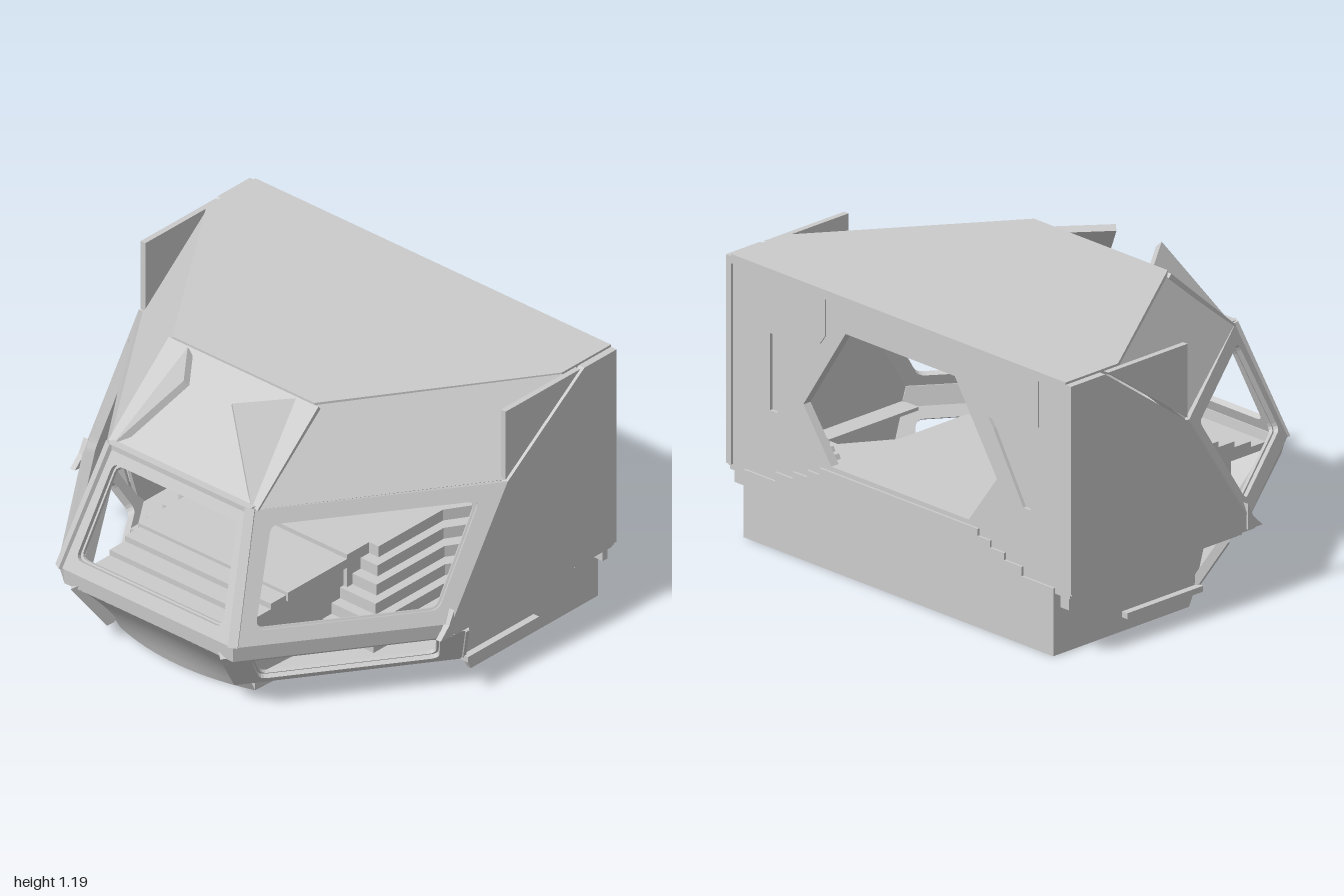
import * as THREE from 'three';

const material = new THREE.MeshStandardMaterial({ color: 0xcccccc, flatShading: true, side: THREE.DoubleSide });
const smoothMaterial = new THREE.MeshStandardMaterial({ color: 0xcccccc, side: THREE.DoubleSide });

// Mirrored copy of an outline, keeping its winding facing outward
const mirror = (pts) => {
  const m = pts.map(([x, y, z]) => [-x, y, z]);
  return [m[1], m[0], ...m.slice(2).reverse()];
};

// Full outline from its +x half
const symmetric = (half) => [...half, ...half.slice().reverse().map(([x, ...rest]) => [-x, ...rest])];

// Closed path with rounded corners
function rounded(points, r) {
  const path = new THREE.Path();
  points.forEach((p, i) => {
    const n = points.length;
    const toward = (q) => q.clone().sub(p).setLength(r).add(p);
    const a = toward(points[(i + n - 1) % n]);
    const b = toward(points[(i + 1) % n]);
    if (i) path.lineTo(a.x, a.y); else path.moveTo(a.x, a.y);
    path.quadraticCurveTo(p.x, p.y, b.x, b.y);
  });
  path.closePath();
  return path;
}

// Plate through 3D corners (anticlockwise from outside), thickened inward.
// hole = [u, v0, v1] cuts a rounded opening in a four-cornered plate.
function plate(name, corners, { depth = 0.03, hole = null, set = 0 } = {}) {
  const p = corners.map((c) => new THREE.Vector3(...c));
  const u = p[1].clone().sub(p[0]).normalize();
  const n = u.clone().cross(p[p.length - 1].clone().sub(p[0])).normalize();
  const v = n.clone().cross(u);
  const flat = p.map((q) => {
    const d = q.clone().sub(p[0]);
    return new THREE.Vector2(d.dot(u), d.dot(v));
  });
  const shape = new THREE.Shape(flat);
  if (hole) {
    const [s, v0, v1] = hole;
    const at = (a, b) => flat[0].clone().lerp(flat[1], a).lerp(flat[3].clone().lerp(flat[2], a), b);
    shape.holes.push(rounded([at(s, v0), at(1 - s, v0), at(1 - s, v1), at(s, v1)], 0.035));
  }
  const geo = new THREE.ExtrudeGeometry(shape, { depth, bevelEnabled: false, curveSegments: 4 });
  geo.translate(0, 0, -depth - set);
  geo.applyMatrix4(new THREE.Matrix4().makeBasis(u, v, n).setPosition(p[0]));
  const mesh = new THREE.Mesh(geo, material);
  mesh.name = name;
  return mesh;
}

// Upright extrusion of an x-y outline along z
function extrudeZ(name, pts, z0, z1, holes = []) {
  const shape = new THREE.Shape(pts.map(([x, y]) => new THREE.Vector2(x, y)));
  holes.forEach((h) => shape.holes.push(new THREE.Path(h.map(([x, y]) => new THREE.Vector2(x, y)))));
  const geo = new THREE.ExtrudeGeometry(shape, { depth: z1 - z0, bevelEnabled: false });
  geo.translate(0, 0, z0);
  const mesh = new THREE.Mesh(geo, material);
  mesh.name = name;
  return mesh;
}

// Box from minimum and maximum corners
function box(name, a, b) {
  const mesh = new THREE.Mesh(new THREE.BoxGeometry(b[0] - a[0], b[1] - a[1], b[2] - a[2]), material);
  mesh.position.set((a[0] + b[0]) / 2, (a[1] + b[1]) / 2, (a[2] + b[2]) / 2);
  mesh.name = name;
  return mesh;
}

// Bowed nose of the lower hull, raked forward towards the top
function lowerNose() {
  const geo = new THREE.PlaneGeometry(2, 1, 16, 8);
  const pos = geo.attributes.position;
  for (let i = 0; i < pos.count; i++) {
    const s = pos.getX(i);
    const t = pos.getY(i) + 0.5;
    pos.setXYZ(i, s * (0.36 + 0.03 * t), 0.28 * t, 0.66 + 0.08 * t + 0.1 * t * t - 0.06 * s * s * (1 - t));
  }
  geo.computeVertexNormals();
  const mesh = new THREE.Mesh(geo, smoothMaterial);
  mesh.name = 'lowerNose';
  return mesh;
}

export function createModel() {
  const model = new THREE.Group();
  model.name = 'cockpit';
  const add = (...m) => model.add(...m);
  const both = (name, pts, opt) => add(plate(name + 'Left', pts, opt), plate(name + 'Right', mirror(pts), opt));
  const bothBoxes = (name, a, b) => add(
    box(name + 'Left', a, b),
    box(name + 'Right', [-b[0], a[1], a[2]], [-a[0], b[1], b[2]]));

  // Roof
  add(plate('roof', symmetric([[0.95, 1.19, -0.85], [0.95, 1.19, -0.56], [0.38, 1.19, 0.27]]).reverse(), { depth: 0.02 }));

  // Sloping brow panels
  add(plate('browPanel', [[-0.4, 0.86, 0.63], [0.4, 0.86, 0.63], [0.4, 1.18, 0.27], [-0.4, 1.18, 0.27]], { depth: 0.02 }));
  both('shoulderPanel', [[0.39, 0.86, 0.63], [0.97, 0.86, -0.21], [0.95, 1.18, -0.57], [0.38, 1.18, 0.27]], { depth: 0.02 });

  // Brow fins
  both('browFin', [[0.37, 0.86, 0.63], [0.29, 1.18, 0.28], [0.13, 1.18, 0.48]]);

  // Main windows: frame with a recessed liner
  const frontWindow = [[-0.47, 0.35, 0.85], [0.47, 0.35, 0.85], [0.38, 0.86, 0.65], [-0.38, 0.86, 0.65]];
  const sideWindow = [[0.47, 0.35, 0.85], [0.985, 0.35, 0.13], [0.985, 0.86, -0.2], [0.38, 0.86, 0.65]];
  add(plate('frontWindowFrame', frontWindow, { hole: [0.075, 0.105, 0.89], depth: 0.02 }));
  add(plate('frontWindowLiner', frontWindow, { hole: [0.085, 0.12, 0.875], depth: 0.015, set: 0.02 }));
  both('sideWindowFrame', sideWindow, { hole: [0.085, 0.11, 0.89], depth: 0.02 });
  both('sideWindowLiner', sideWindow, { hole: [0.095, 0.125, 0.875], depth: 0.015, set: 0.02 });

  // Corner posts and eave strip around the main windows
  both('cornerPost', [[0.45, 0.35, 0.86], [0.485, 0.35, 0.84], [0.395, 0.87, 0.64], [0.36, 0.87, 0.66]], { depth: 0.02, set: -0.004 });
  add(box('frontEave', [-0.38, 0.845, 0.62], [0.38, 0.87, 0.655]));

  // Sill band below the windows
  add(plate('frontSill', [[-0.45, 0.27, 0.83], [0.45, 0.27, 0.83], [0.46, 0.35, 0.835], [-0.46, 0.35, 0.835]]));
  both('sideSill', [[0.45, 0.27, 0.83], [0.965, 0.27, 0.1], [0.97, 0.35, 0.13], [0.46, 0.35, 0.84]]);
  both('sillBracket', [[0.99, 0.3, 0.2], [0.99, 0.3, 0.12], [0.99, 0.41, 0.12], [0.99, 0.35, 0.15]], { depth: 0.025 });

  // Side walls: main plate and, across a narrow seam, the upper corner plate
  both('sideWall', [[0.98, 0.29, 0.17], [0.98, 0.29, -0.85], [0.98, 1.18, -0.85], [0.98, 1.18, -0.66], [0.98, 0.85, -0.2]]);
  both('sideCornerPlate', [[0.975, 0.865, -0.2], [0.975, 1.18, -0.64], [0.975, 1.18, -0.2]], { depth: 0.025 });

  // Back wall with doorway and recessed triangles
  const doorway = symmetric([[0.31, 1.03], [0.55, 0.66], [0.39, 0.44]]);
  const flip = (pts, s) => pts.map(([x, y]) => [s * x, y]);
  const triangle = [[0.74, 0.91], [0.5, 0.91], [0.53, 0.87], [0.7, 0.58], [0.74, 0.58]];
  add(extrudeZ('backWall', [[-0.96, 0.29], [0.96, 0.29], [0.96, 1.18], [-0.96, 1.18]], -0.84, -0.8,
    [doorway, flip(triangle, 1), flip(triangle, -1)]));
  add(box('backTopRim', [-0.96, 1.15, -0.85], [0.96, 1.18, -0.8]));
  for (const s of [1, -1]) {
    add(extrudeZ('backTriangle', flip(triangle, s), -0.825, -0.785));
    add(extrudeZ('backUpperPanel', flip([[0.42, 1.15], [0.42, 0.99], [0.45, 0.95], [0.79, 0.95], [0.79, 1.15]], s), -0.847, -0.84));
    // Angled trim and ledges on the inner face of the back wall
    add(extrudeZ('innerWallTrim', flip([[0.95, 0.42], [0.76, 0.42], [0.76, 0.51], [0.84, 0.58], [0.84, 0.95], [0.95, 0.95]], s), -0.8, -0.77));
    [0.42, 0.455, 0.49].forEach((y, i) =>
      add(extrudeZ('backLedge', flip([[0.46 + i * 0.01, y], [0.76, y], [0.76, y + 0.02], [0.47 + i * 0.01, y + 0.02]], s), -0.8, -0.72 - i * 0.02)));
  }

  // Raised floor with terraces stepping down around each side well
  add(box('floor', [-0.4, 0.12, -0.84], [0.4, 0.42, 0.1]));
  for (let i = 0; i < 6; i++) {
    const o = 0.24 - i * 0.04;
    const y = 0.17 + i * 0.05;
    const front = 0.22 - i * 0.05;
    const outer = y < 0.29 ? 0.86 : 0.95;
    both('terrace', [[0.38, y, front], [0.41 + o, y, front], [0.41 + o, y, -0.45 + o], [0.54 + o, y, -0.66 + o],
      [outer, y, -0.66 + o], [outer, y, -0.82], [0.38, y, -0.82]], { depth: 0.05 });
  }
  add(extrudeZ('backSteps', symmetric([[0.4, 0.42], [0.45, 0.42], [0.45, 0.39], [0.52, 0.39],
    [0.52, 0.36], [0.6, 0.36], [0.6, 0.33], [0.7, 0.33], [0.7, 0.29], [0.4, 0.29]]), -0.85, -0.82));
  add(box('forwardDeck', [-0.4, 0.36, 0.1], [0.4, 0.4, 0.45]));
  add(box('forwardCore', [-0.38, 0.1, 0.1], [0.38, 0.36, 0.62]));
  for (let i = 0; i < 4; i++) {
    add(box('frontStep', [-0.39, 0.28, 0.45 + i * 0.09], [0.39, 0.385 - i * 0.025, 0.54 + i * 0.09]));
  }

  // Lower hull: nose, keel, raised side wells, windows and flanks
  add(lowerNose());
  add(plate('keel', symmetric([[0.88, 0.12, -0.85], [0.88, 0.12, -0.64], [0.54, 0.12, -0.64], [0.41, 0.12, -0.37],
    [0.36, 0.12, 0.6], [0.18, 0.12, 0.645]]).reverse(), { depth: 0.12 }));
  both('wellFloor', [[0.36, 0.07, 0.65], [0.865, 0.07, -0.07], [0.865, 0.07, -0.64], [0.54, 0.07, -0.64], [0.41, 0.07, -0.37]], { depth: 0.015 });
  const lowerWindow = [[0.34, 0.06, 0.7], [0.88, 0.06, -0.07], [0.98, 0.27, 0.02], [0.4, 0.27, 0.85]];
  both('lowerWindowFrame', lowerWindow, { hole: [0.115, 0.12, 0.81], depth: 0.02 });
  both('lowerWindowLiner', lowerWindow, { hole: [0.125, 0.14, 0.79], depth: 0.015, set: 0.02 });
  both('lowerFlank', [[0.88, 0, -0.1], [0.88, 0, -0.85], [0.88, 0.29, -0.85], [0.88, 0.29, 0.0], [0.88, 0.06, -0.07]], { depth: 0.02 });
  both('flankReturn', [[0.88, 0.06, -0.07], [0.88, 0.28, 0.0], [0.98, 0.27, 0.02]], { depth: 0.015 });
  add(box('lowerBackWall', [-0.88, 0, -0.85], [0.88, 0.29, -0.82]));

  // Overhang ledges, rails and rear fittings
  bothBoxes('overhangLedge', [0.86, 0.28, -0.84], [0.975, 0.295, 0.1]);
  bothBoxes('flankRail', [0.87, 0.06, -0.47], [0.91, 0.085, -0.05]);
  bothBoxes('rearStrip', [0.88, 0.265, -0.84], [0.965, 0.285, -0.62]);
  bothBoxes('rearLug', [0.9, 0.21, -0.83], [0.95, 0.28, -0.8]);
  return model;
}
